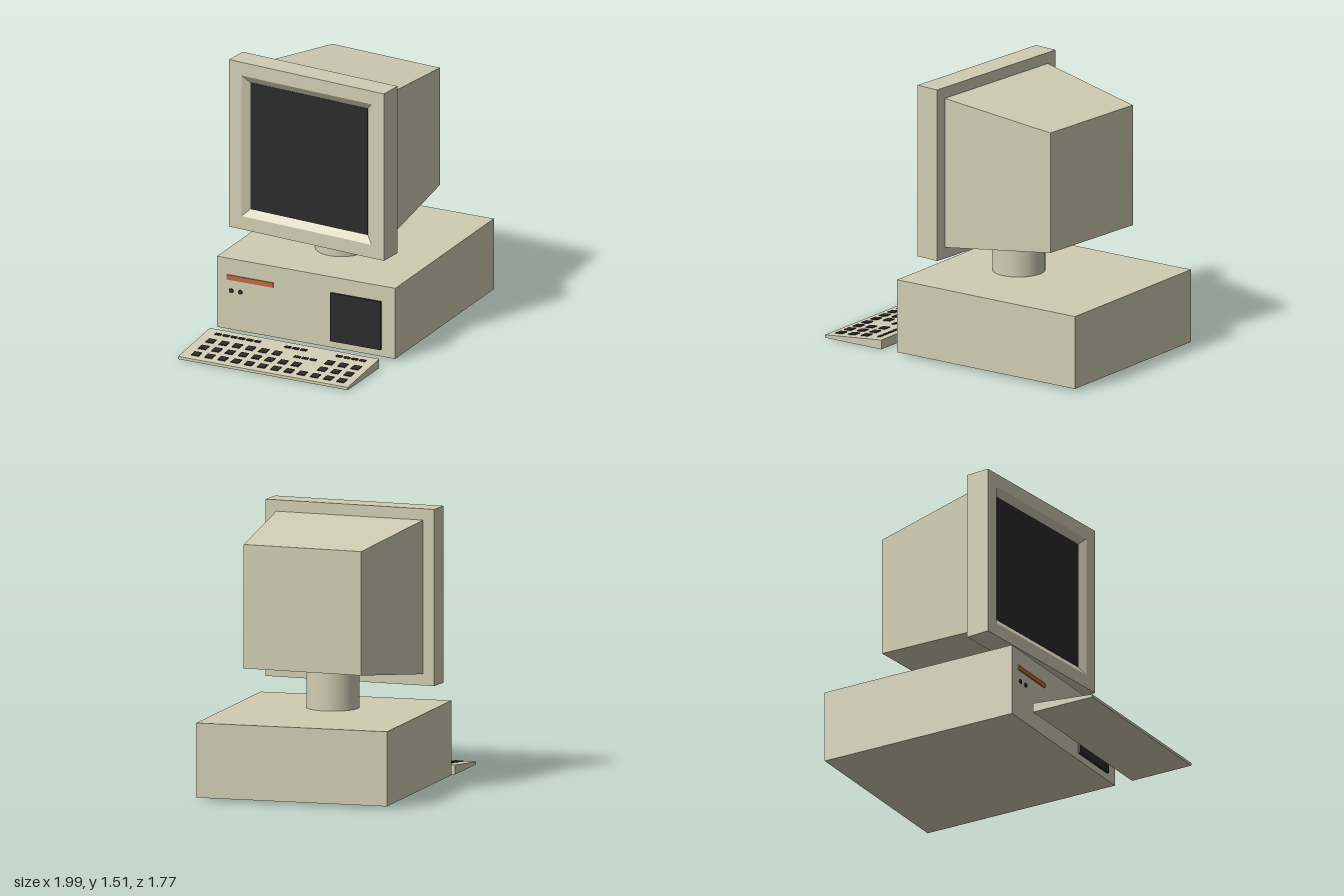
import * as THREE from 'three';

const mat = (color) => new THREE.MeshStandardMaterial({ color });
const beige = mat(0xd1cdb3);
const dark = mat(0x2b2b2b);
const orange = mat(0xc0693f);

function add(parent, name, geometry, material, x = 0, y = 0, z = 0) {
  const mesh = new THREE.Mesh(geometry, material);
  mesh.name = name;
  mesh.position.set(x, y, z);
  parent.add(mesh);
  return mesh;
}

// Group standing at (x, z), turned about the vertical axis
function turned(parent, name, x, z, degrees) {
  const group = new THREE.Group();
  group.name = name;
  group.position.set(x, 0, z);
  group.rotation.y = THREE.MathUtils.degToRad(degrees);
  parent.add(group);
  return group;
}

// Move every vertex of a geometry by a rule
function reshape(geometry, rule) {
  const g = geometry.index ? geometry.toNonIndexed() : geometry;
  const p = g.attributes.position;
  const v = new THREE.Vector3();
  for (let i = 0; i < p.count; i++) {
    v.fromBufferAttribute(p, i);
    rule(v);
    p.setXYZ(i, v.x, v.y, v.z);
  }
  g.computeVertexNormals();
  return g;
}

function buildCase(model) {
  const g = turned(model, 'computerCase', 0.208, -0.117, -59.2);
  const front = 1.186 / 2;
  add(g, 'caseBody', new THREE.BoxGeometry(1.083, 0.41, 1.186), beige, 0, 0.22, 0);
  add(g, 'driveSlot', new THREE.BoxGeometry(0.28, 0.028, 0.012), orange, -0.34, 0.316, front);
  add(g, 'frontPanel', new THREE.BoxGeometry(0.306, 0.28, 0.024), dark, 0.305, 0.195, front);
  for (const x of [-0.455, -0.4]) {
    const button = new THREE.CylinderGeometry(0.013, 0.013, 0.01, 16).rotateX(Math.PI / 2);
    add(g, 'button', button, dark, x, 0.24, front);
  }
}

function buildMonitor(model) {
  // Origin on the back face of the bezel, screen towards local +z
  const g = turned(model, 'monitor', -0.11, 0.026, -64.2);
  const midY = 1.03, recess = 0.027, slab = 0.112;
  add(g, 'bezelBack', new THREE.BoxGeometry(0.988, 0.97, slab), beige, 0, midY, slab / 2);

  // Front frame whose opening narrows towards the screen
  const rect = (Path, w, h) => new Path().moveTo(-w, -h).lineTo(w, -h).lineTo(w, h).lineTo(-w, h).closePath();
  const shape = rect(THREE.Shape, 0.494, 0.485);
  shape.holes.push(rect(THREE.Path, 0.415, 0.408));
  const frame = new THREE.ExtrudeGeometry(shape, { depth: recess, bevelEnabled: false });
  reshape(frame, (v) => {
    if (v.z < 0.001 && Math.abs(v.x) < 0.42) {
      v.x -= Math.sign(v.x) * 0.04;
      v.y -= Math.sign(v.y) * 0.04;
    }
  });
  add(g, 'bezelFrame', frame, beige, 0, midY, slab);
  add(g, 'screen', new THREE.BoxGeometry(0.75, 0.736, 0.004), dark, 0, midY, slab);

  // Tapered tube housing
  const housing = reshape(new THREE.BoxGeometry(0.86, 0.845, 0.68), (v) => {
    if (v.z < 0) { v.x *= 0.8; v.y *= 0.805; }
  });
  add(g, 'housing', housing, beige, 0, midY, -0.34);
}

function buildKeyboard(model) {
  const g = turned(model, 'keyboard', -0.575, 0.34, -59.5);
  const depth = 0.376, low = 0.016, high = 0.053;
  const topAt = (z) => low + (high - low) * (0.5 - z / depth);
  const wedge = reshape(new THREE.BoxGeometry(1.033, 1, depth), (v) => {
    v.y = v.y < 0 ? 0 : topAt(v.z);
  });
  add(g, 'keyboardBody', wedge, beige);

  const slope = Math.atan((high - low) / depth);
  const key = (x, z, w, d) => {
    const mesh = add(g, 'key', new THREE.BoxGeometry(w, 0.01, d), dark, x, topAt(z), z);
    mesh.rotation.x = slope;
  };
  // Main rows: x marks a key, a space leaves a gap
  const rows = ['xxxxxxxxxxxx', 'xxxxxxxx xxx', 'xxxxxx   xxx'];
  rows.forEach((row, r) => [...row].forEach((c, i) => {
    if (c === 'x') key(-0.435 + i * 0.0805, 0.127 - r * 0.085, 0.045, 0.045);
  }));
  // Small keys: groups along the back edge and between the main blocks
  const small = [[-0.436, 6, -0.132], [-0.011, 3, -0.132], [0.3, 4, -0.134], [0.092, 3, -0.043]];
  for (const [x, count, z] of small) {
    for (let i = 0; i < count; i++) key(x + i * 0.048, z, 0.036, 0.018);
  }
}

export function createModel() {
  const model = new THREE.Group();
  model.name = 'desktopComputer';
  buildCase(model);
  add(model, 'monitorPedestal', new THREE.CylinderGeometry(0.144, 0.144, 0.24, 32), beige, 0.064, 0.54, -0.031);
  buildMonitor(model);
  buildKeyboard(model);
  return model;
}
